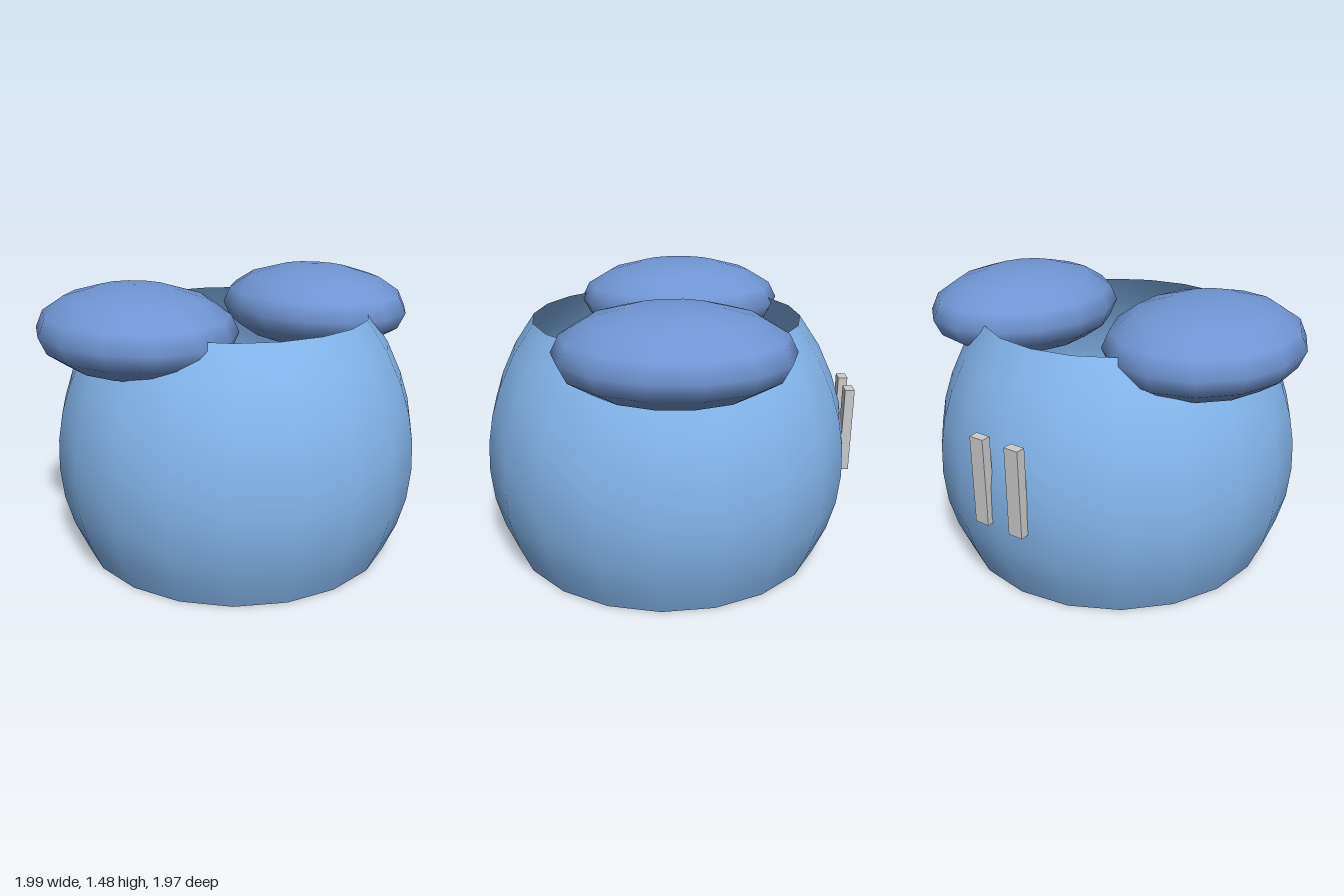
import * as THREE from 'three';

const material = (color, side = THREE.FrontSide) => new THREE.MeshStandardMaterial({ color, side });
const deg = THREE.MathUtils.degToRad;

export function createModel() {
  const model = new THREE.Group();
  const add = (name, geometry, mat) => {
    const mesh = new THREE.Mesh(geometry, mat);
    mesh.name = name;
    model.add(mesh);
    return mesh;
  };

  // Rounded barrel shell, open at top and bottom
  const profile = [
    [0.862, 0], [0.93, 0.16], [0.972, 0.32], [0.988, 0.49], [0.981, 0.65],
    [0.954, 0.8], [0.905, 0.95], [0.825, 1.12], [0.712, 1.285],
  ].map(([r, y]) => new THREE.Vector2(r, y));
  add('bodyShell', new THREE.LatheGeometry(profile, 20, deg(4)), material(0x82b4ea, THREE.DoubleSide))
    .position.x = 0.005;

  // Two flattened oval pads resting on the rim
  const padMaterial = material(0x6f95d2);
  const padGeometry = new THREE.SphereGeometry(1, 14, 8);
  for (const [name, x, z] of [['rightPad', -0.475, 0.325], ['leftPad', 0.42, -0.42]]) {
    const pad = add(name, padGeometry, padMaterial);
    pad.position.set(x, 1.25, z);
    pad.scale.set(0.583, 0.23, 0.487);
    pad.rotation.y = deg(-48);
  }

  // Two upright bars set into the back of the shell
  const bars = new THREE.Group();
  bars.name = 'backBars';
  const barMaterial = material(0xcccccc);
  for (const side of [-1, 1]) {
    const bar = new THREE.Mesh(new THREE.BoxGeometry(0.08, 0.46, 0.05), barMaterial);
    bar.name = side < 0 ? 'firstBar' : 'secondBar';
    bar.position.set(side * 0.106, 0.68, 0.98);
    bars.add(bar);
  }
  bars.rotation.y = Math.atan2(-0.645, -0.765);
  model.add(bars);

  return model;
}
